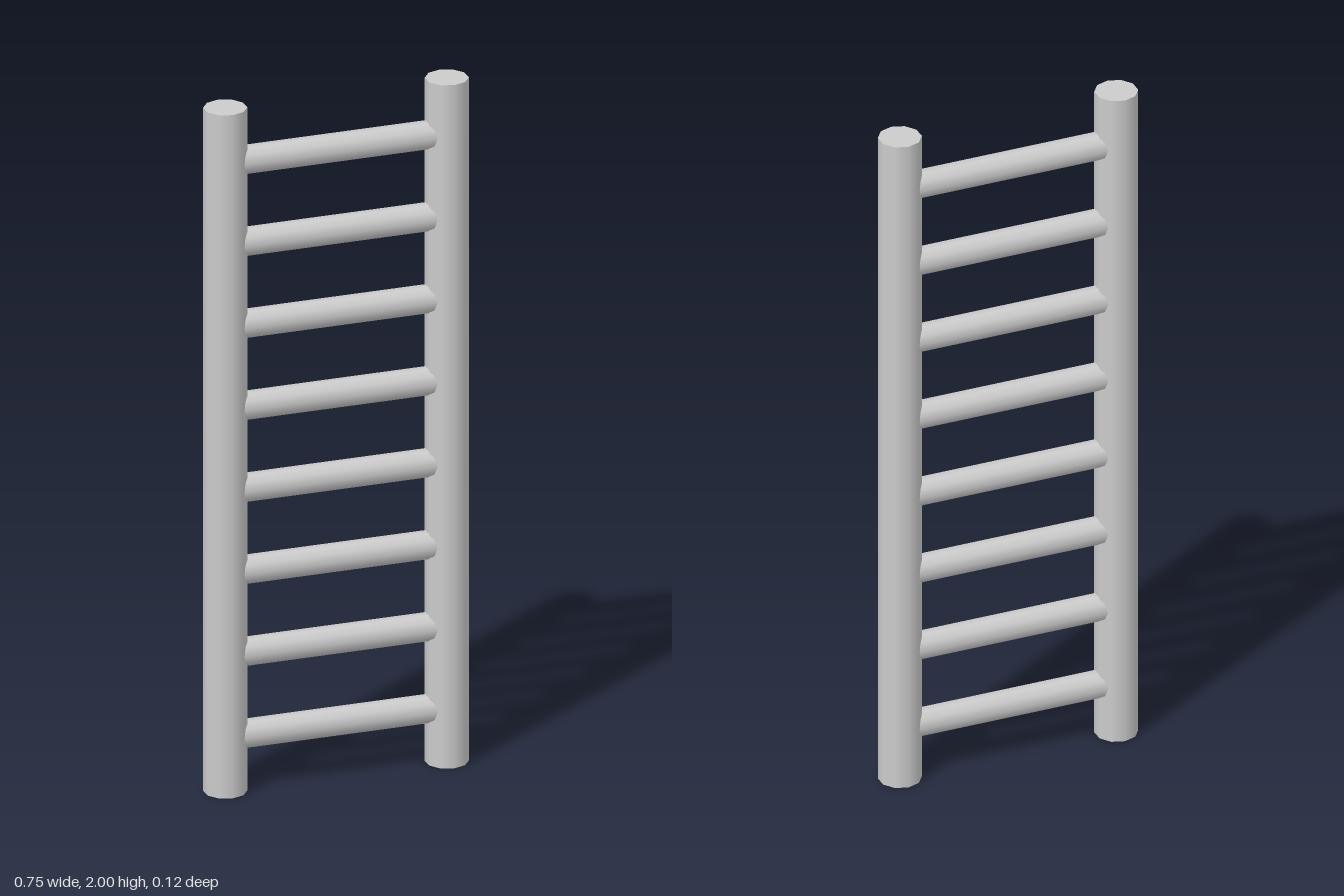
import * as THREE from 'three';

export function createModel() {
  const ladder = new THREE.Group();
  ladder.name = 'ladder';
  const material = new THREE.MeshStandardMaterial({ color: 0xcccccc });
  const postX = 0.32;

  // Two ten-sided uprights
  const postGeometry = new THREE.CylinderGeometry(0.06, 0.06, 2, 10);
  for (const side of [-1, 1]) {
    const post = new THREE.Mesh(postGeometry, material);
    post.name = side > 0 ? 'leftPost' : 'rightPost';
    post.position.set(side * postX, 1, 0);
    ladder.add(post);
  }

  // Eight evenly spaced rungs, ending inside the uprights
  const rungGeometry = new THREE.CylinderGeometry(0.04, 0.04, postX * 2, 10);
  rungGeometry.rotateZ(Math.PI / 2);
  for (let i = 0; i < 8; i++) {
    const rung = new THREE.Mesh(rungGeometry, material);
    rung.name = `rung${i + 1}`;
    rung.position.y = 0.16 + i * 0.24;
    ladder.add(rung);
  }

  return ladder;
}
